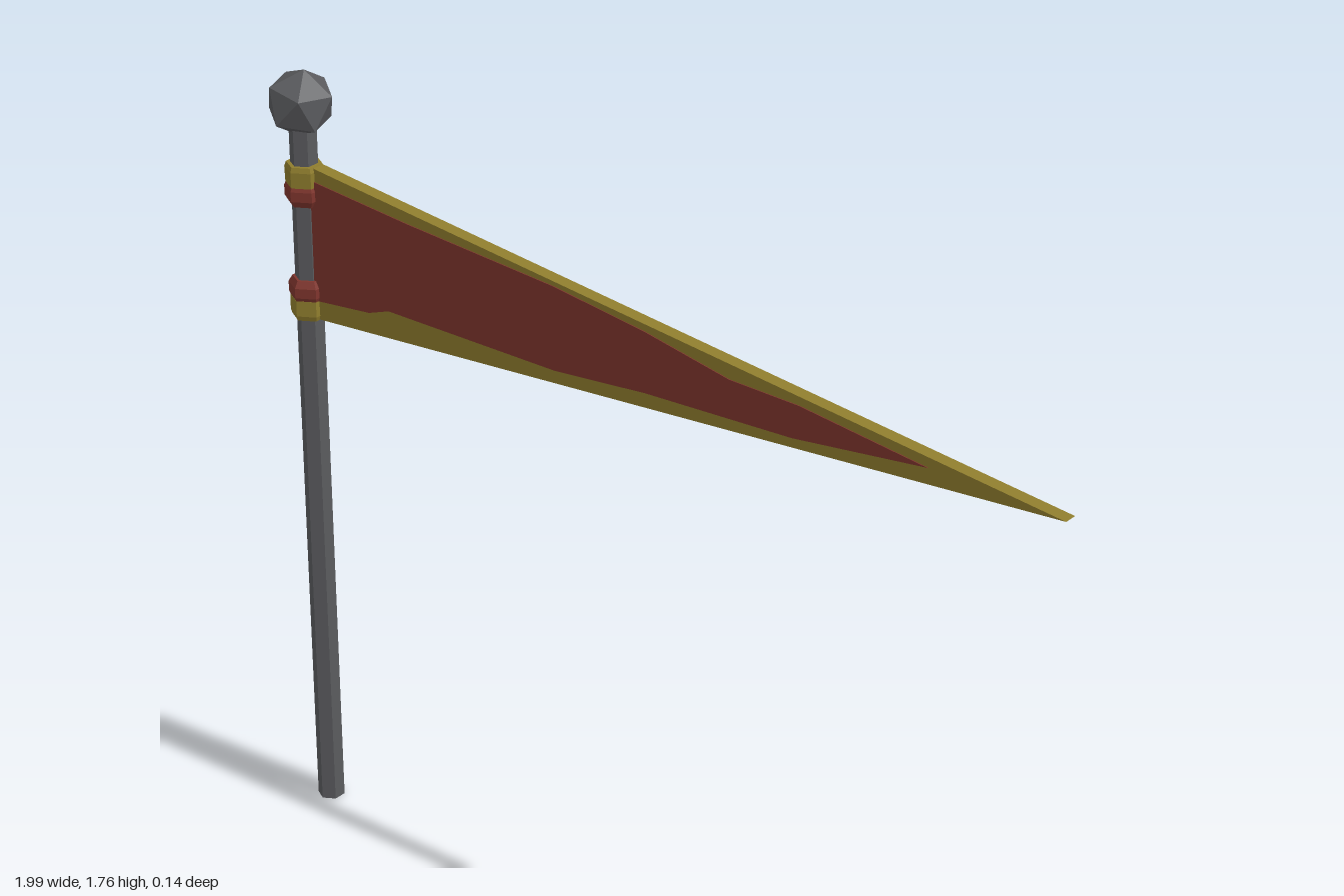
import * as THREE from 'three';

const material = (name, color) => {
  const m = new THREE.MeshStandardMaterial({ color, flatShading: true });
  m.name = name;
  return m;
};

export function createModel() {
  const iron = material('dark iron', 0x5a5b5e);
  const red = material('deep red', 0x7f352d);
  const gold = material('old gold', 0x8f7d2d);

  const model = new THREE.Group();
  model.name = 'pennantOnPole';
  const poleX = -0.92;

  const add = (name, geometry, mat, parent = model) => {
    const mesh = new THREE.Mesh(geometry, mat);
    mesh.name = name;
    parent.add(mesh);
    return mesh;
  };
  const toShape = (points) => new THREE.Shape(points.map(([x, y]) => new THREE.Vector2(x, y)));
  const extrude = (points, depth, z) =>
    new THREE.ExtrudeGeometry(toShape(points), { depth, bevelEnabled: false }).translate(0, 0, z);

  // Six-sided pole
  add('pole', new THREE.CylinderGeometry(0.03, 0.03, 1.64, 6), iron).position.set(poleX, 0.82, 0);

  // Faceted knob, turned corner-up and slightly tilted
  const knob = new THREE.IcosahedronGeometry(0.077, 0);
  knob.rotateZ(-Math.atan(2 / (1 + Math.sqrt(5)))).rotateY(Math.PI / 2).rotateZ(-0.18);
  add('knob', knob, iron).position.set(poleX - 0.003, 1.685, 0);

  // Fastening bands: profiles as [radius, height from the flag's middle]
  const lathe = (points) =>
    new THREE.LatheGeometry(points.map(([r, y]) => new THREE.Vector2(r, y)), 6);
  const redBand = [[0.028, 0.085], [0.036, 0.085], [0.045, 0.1], [0.045, 0.122], [0.039, 0.136], [0.028, 0.136]];
  const goldBand = [[0.028, 0.13], [0.042, 0.13], [0.043, 0.165], [0.039, 0.176], [0.028, 0.176]];
  for (const side of ['upper', 'lower']) {
    const band = new THREE.Group();
    band.name = side + 'Band';
    band.position.set(poleX, 1.375, 0);
    if (side === 'lower') band.rotation.x = Math.PI;
    add(side + 'RedBand', lathe(redBand), red, band);
    add(side + 'GoldBand', lathe(goldBand), gold, band);
    model.add(band);
  }

  // Gold pennant with a red field on each face
  add('pennant', extrude([[-0.9, 1.2], [1, 1.345], [-0.9, 1.55]], 0.03, -0.02), gold);

  const frontField = [
    [-0.899, 1.243], [-0.74, 1.26], [-0.685, 1.28], [-0.235, 1.28], [0, 1.302], [0.365, 1.318],
    [0.685, 1.357], [0.38, 1.393], [0.21, 1.397], [0, 1.437], [-0.235, 1.468], [-0.625, 1.495], [-0.899, 1.52],
  ];
  const backField = [
    [-0.899, 1.242], [-0.5, 1.265], [0, 1.295], [0.35, 1.32], [0.66, 1.345],
    [0.3, 1.382], [-0.1, 1.408], [-0.37, 1.423], [-0.488, 1.452], [-0.899, 1.525],
  ];
  add('frontField', extrude(frontField, 0.004, 0.008), red);
  add('backField', extrude(backField, 0.004, -0.022), red);

  return model;
}
